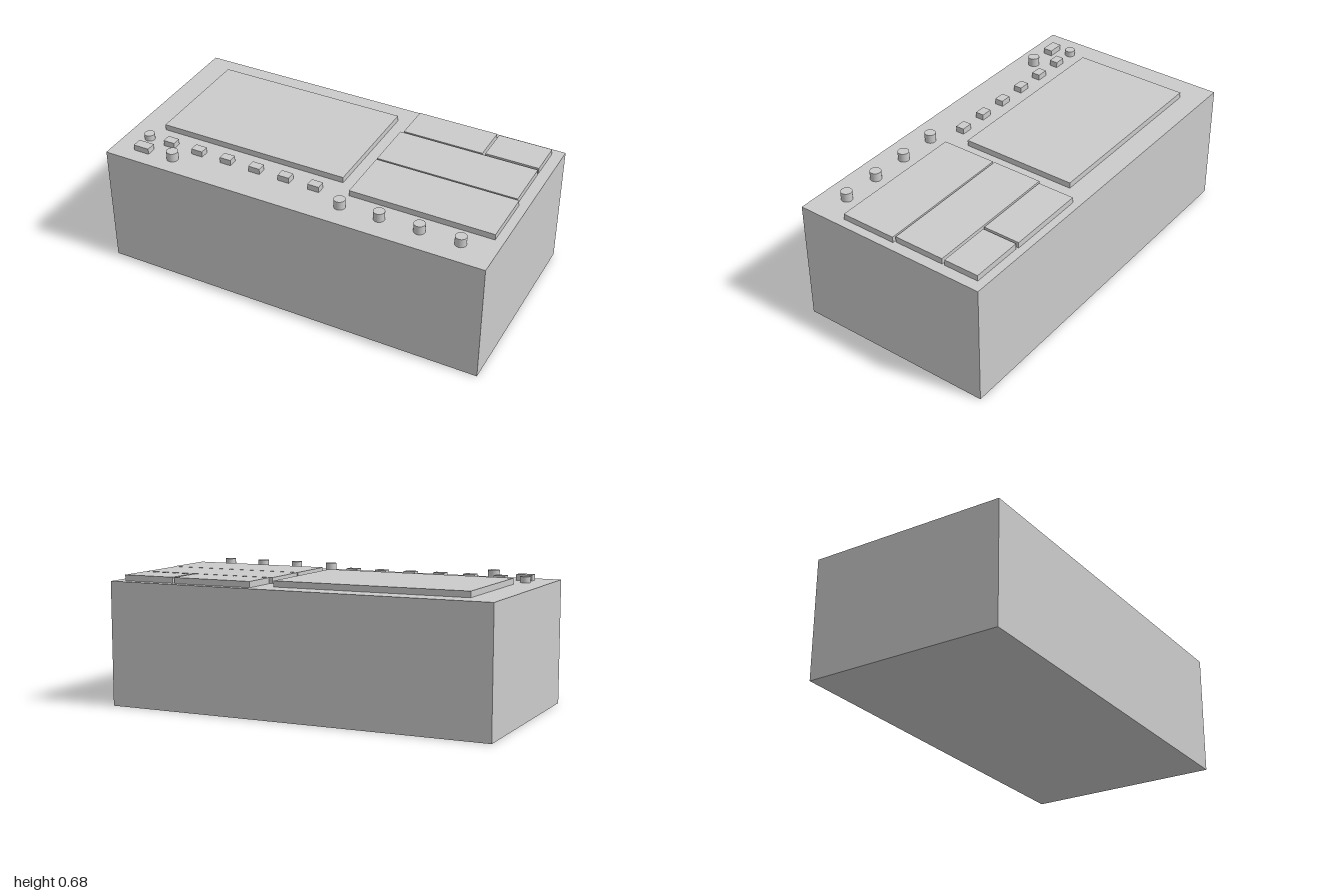
import * as THREE from 'three';

const TOP = 0.63;

export function createModel() {
  const model = new THREE.Group();
  const material = new THREE.MeshStandardMaterial({ color: 0xcccccc });

  const add = (name, geometry, x, y, z) => {
    const mesh = new THREE.Mesh(geometry, material);
    mesh.name = name;
    mesh.position.set(x, y, z);
    model.add(mesh);
  };

  // Raised rectangular plate on the top face, given by its x and z limits
  const plate = (name, x0, x1, z0, z1, h = 0.03) =>
    add(name, new THREE.BoxGeometry(x1 - x0, h, z1 - z0), (x0 + x1) / 2, TOP + h / 2, (z0 + z1) / 2);

  // Round knob standing on the top face
  const knob = (name, x, z, r, h) =>
    add(name, new THREE.CylinderGeometry(r, r, h, 32), x, TOP + h / 2, z);

  // Cabinet
  add('cabinet', new THREE.BoxGeometry(2, TOP, 1.025), 0, TOP / 2, 0);

  // Display and control panels
  plate('screen', -0.85, 0.148, -0.396, 0.211);
  plate('backLeftPanel', 0.668, 0.944, -0.468, -0.286);
  plate('backMiddlePanel', 0.235, 0.655, -0.473, -0.281);
  plate('middlePanel', 0.22, 0.944, -0.272, -0.008);
  plate('frontPanel', 0.22, 0.955, 0, 0.291);

  // Row of push buttons below the screen
  for (let i = 0; i < 6; i++) {
    const x = -0.75 + i * 0.1605;
    plate('button' + (i + 1), x - 0.03, x + 0.03, 0.29, 0.335);
  }
  plate('powerButton', -0.888, -0.805, 0.385, 0.435);

  // Knobs
  knob('smallKnob', -0.877, 0.313, 0.026, 0.03);
  knob('cornerKnob', -0.68, 0.412, 0.029, 0.045);
  for (let i = 0; i < 4; i++) knob('panelKnob' + (i + 1), 0.22 + i * 0.203, 0.388, 0.028, 0.045);

  return model;
}
